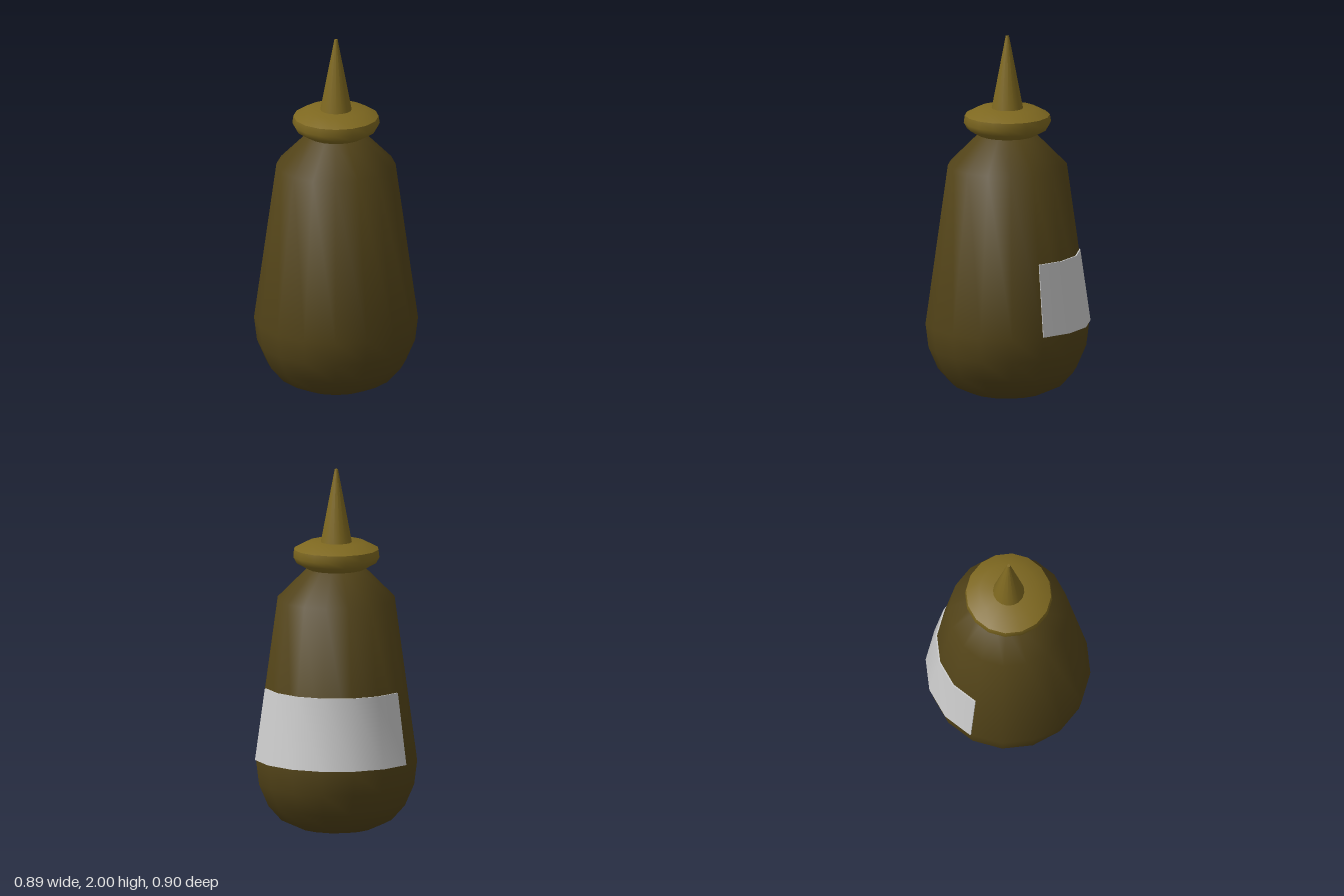
import * as THREE from 'three';
import { toCreasedNormals } from 'three/addons/utils/BufferGeometryUtils.js';

const SIDES = 16;
const STEP = (Math.PI * 2) / SIDES;
const TURN = THREE.MathUtils.degToRad(-5.2); // slight twist of the facets

const material = (color) => new THREE.MeshStandardMaterial({ color, side: THREE.DoubleSide });
const points = (list) => list.map(([r, y]) => new THREE.Vector2(r, y));

// Turned part from a bottom-to-top profile
function turned(name, profile, mat, crease, start = 0, count = SIDES) {
  const geo = new THREE.LatheGeometry(points(profile), count, TURN + start * STEP, count * STEP);
  const mesh = new THREE.Mesh(toCreasedNormals(geo, crease), mat);
  mesh.name = name;
  return mesh;
}

export function createModel() {
  const model = new THREE.Group();
  model.name = 'squeezeBottle';
  const bodyMat = material(0x524318);
  const capMat = material(0x7e6820);
  const labelMat = material(0xcccccc);

  // Tapered body with rounded bottom and sloping shoulder
  model.add(turned('body', [
    [0, 0], [0.1, 0.004], [0.205, 0.022], [0.305, 0.068], [0.378, 0.15],
    [0.43, 0.27], [0.446, 0.4], [0.324, 1.285], [0.16, 1.45], [0.13, 1.465],
  ], bodyMat, 0.95));

  // Screw cap with bevelled rim
  model.add(turned('cap', [
    [0, 1.45], [0.155, 1.45], [0.22, 1.487], [0.238, 1.52], [0.232, 1.56], [0.16, 1.598], [0, 1.598],
  ], capMat, 0.8));

  // Pointed nozzle
  model.add(turned('nozzle', [[0.087, 1.59], [0.009, 2], [0, 2]], capMat, 0.8));

  // Curved label wrapped round the back, with closed ends
  const label = new THREE.Group();
  label.name = 'label';
  const section = [[0.437, 0.408], [0.453, 0.408], [0.398, 0.802], [0.385, 0.802], [0.437, 0.408]];
  const first = 5, spans = 6;
  label.add(turned('labelBand', section, labelMat, 0.8, first, spans));
  for (const i of [first, first + spans]) {
    const end = new THREE.Mesh(new THREE.ShapeGeometry(new THREE.Shape(points(section))), labelMat);
    end.name = 'labelEnd';
    end.rotation.y = TURN + i * STEP - Math.PI / 2;
    label.add(end);
  }
  model.add(label);

  return model;
}
